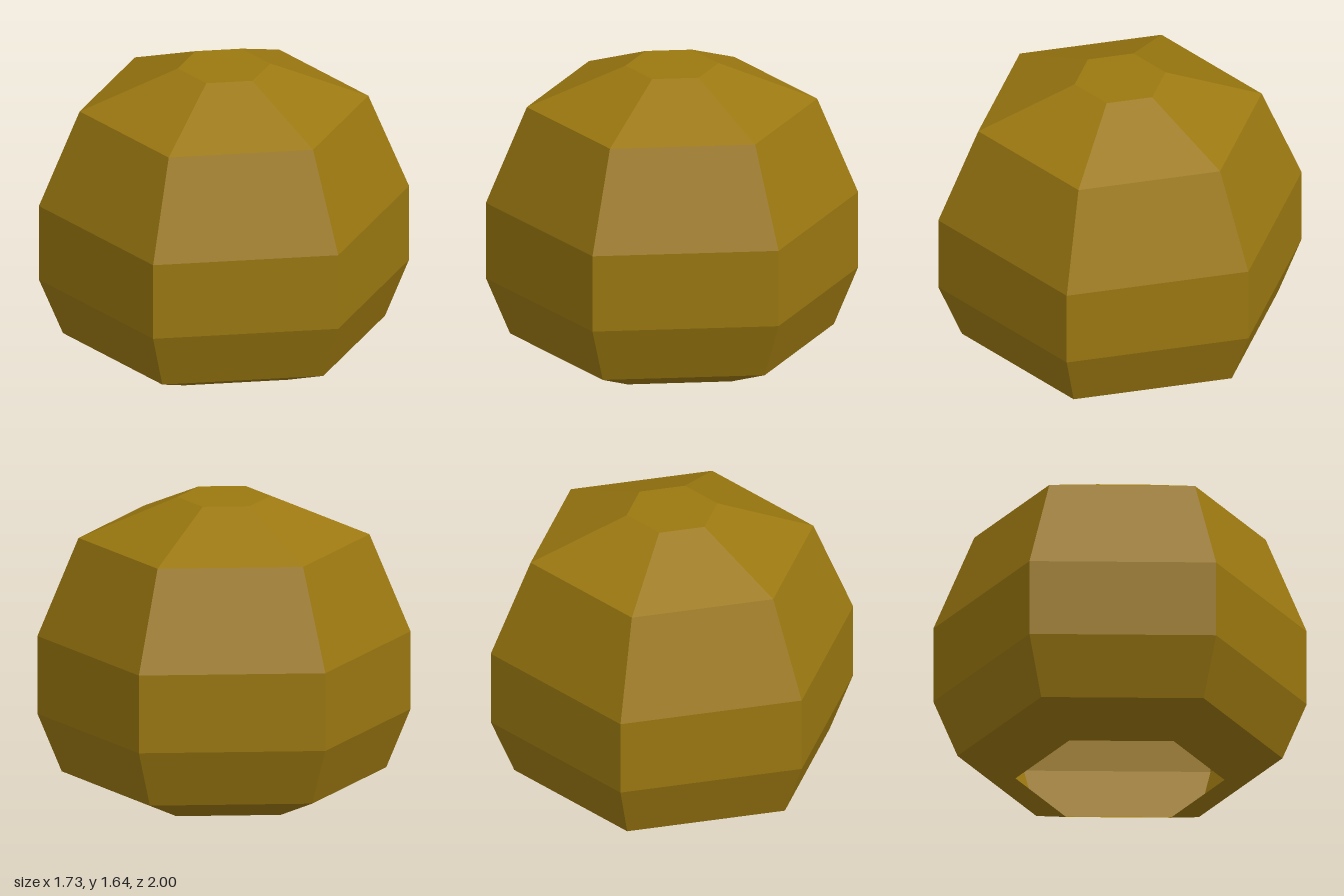
import * as THREE from 'three';

// Faceted six-sided shell, open underneath and closed by a small flat top
export function createModel() {
  const group = new THREE.Group();
  group.name = 'hexagonalShell';

  const ochre = new THREE.MeshStandardMaterial({
    color: 0x9b7810,
    flatShading: true,
    side: THREE.DoubleSide,
  });
  ochre.name = 'ochre';

  // Corner radius and height of each ring, from the open rim upward
  const rings = [
    [0.56, 0], [0.87, 0.13], [1, 0.45], [1, 0.88], [0.78, 1.42], [0.25, 1.64],
  ];
  const profile = rings.map(([r, y]) => new THREE.Vector2(r, y));
  const shell = new THREE.Mesh(new THREE.LatheGeometry(profile, 6), ochre);
  shell.name = 'shell';
  group.add(shell);

  // Flat hexagonal cap, corners pointing along z
  const [capRadius, capHeight] = rings[rings.length - 1];
  const cap = new THREE.Mesh(new THREE.CircleGeometry(capRadius, 6, Math.PI / 2), ochre);
  cap.name = 'topCap';
  cap.rotation.x = -Math.PI / 2;
  cap.position.y = capHeight;
  group.add(cap);

  return group;
}
